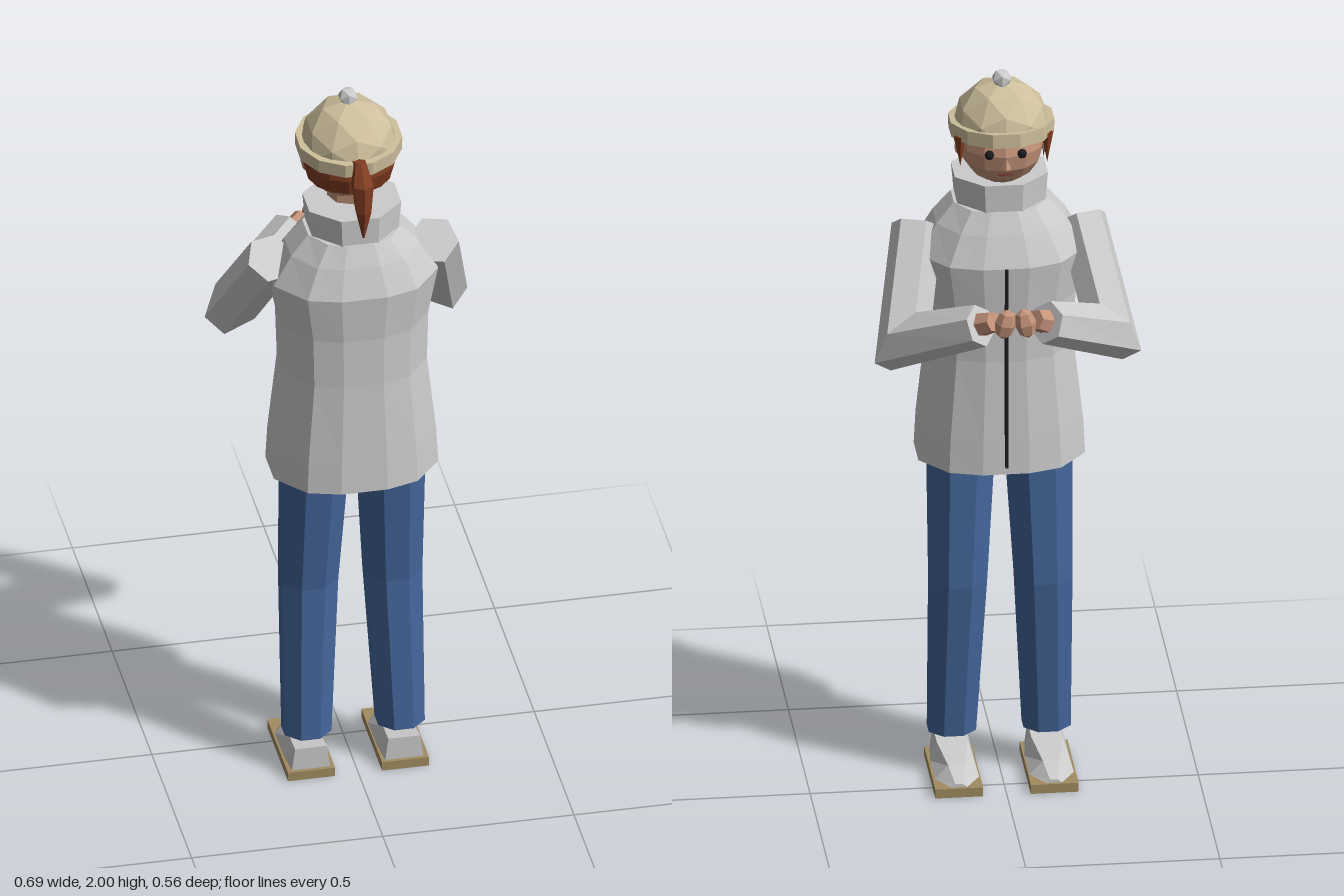
import * as THREE from 'three';

const mat = (color) => new THREE.MeshStandardMaterial({ color, flatShading: true, side: THREE.DoubleSide });
const V = (x, y, z) => new THREE.Vector3(x, y, z);

// Skin between equal-sized rings of points, capped at both ends, facing outward
function loft(rings) {
  const pos = [], n = rings[0].length;
  const tri = (a, b, c) => pos.push(...a.toArray(), ...b.toArray(), ...c.toArray());
  const centre = (ring) => ring.reduce((s, p) => s.add(p), V(0, 0, 0)).divideScalar(n);
  const first = centre(rings[0]), last = centre(rings[rings.length - 1]);
  for (let i = 0; i < n; i++) {
    const j = (i + 1) % n;
    for (let r = 0; r + 1 < rings.length; r++) {
      const A = rings[r], B = rings[r + 1];
      tri(A[i], B[j], A[j]);
      tri(A[i], B[i], B[j]);
    }
    tri(first, rings[0][i], rings[0][j]);
    tri(last, rings[rings.length - 1][j], rings[rings.length - 1][i]);
  }
  // Reverse the corners when the signed volume is negative
  let volume = 0;
  for (let k = 0; k < pos.length; k += 9) {
    const [a, b, c] = [0, 3, 6].map((o) => V(pos[k + o], pos[k + o + 1], pos[k + o + 2]));
    volume += a.dot(b.cross(c));
  }
  if (volume < 0) {
    for (let k = 0; k < pos.length; k += 9)
      for (let o = 3; o < 6; o++) [pos[k + o], pos[k + o + 3]] = [pos[k + o + 3], pos[k + o]];
  }
  const g = new THREE.BufferGeometry();
  g.setAttribute('position', new THREE.Float32BufferAttribute(pos, 3));
  g.computeVertexNormals();
  return g;
}

// Horizontal ellipse ring
function ring(sides, x, y, z, rx, rz) {
  return Array.from({ length: sides }, (_, i) => {
    const a = ((i + 0.5) / sides) * Math.PI * 2;
    return V(x + rx * Math.cos(a), y, z + rz * Math.sin(a));
  });
}

// Hexagonal sleeve along a bent path, mitred at the elbow
function sleeve(points, radii) {
  const [p0, p1, p2] = points;
  const d0 = p1.clone().sub(p0).normalize(), d1 = p2.clone().sub(p1).normalize();
  const u = V(0, 1, 0).cross(d0).normalize(), v = d0.clone().cross(u);
  const slide = (o, d, n) => o.clone().addScaledVector(d, -o.dot(n) / d.dot(n));
  const rings = [[], [], []];
  for (let i = 0; i < 6; i++) {
    const a = (i / 6) * Math.PI * 2;
    const o0 = u.clone().multiplyScalar(Math.cos(a)).addScaledVector(v, Math.sin(a));
    const o1 = slide(o0, d0, d0.clone().add(d1).normalize());
    const o2 = slide(o1, d1, d1);
    [o0, o1, o2].forEach((o, k) => rings[k].push(points[k].clone().addScaledVector(o, radii[k])));
  }
  return loft(rings);
}

export function createModel() {
  const model = new THREE.Group();
  const grey = mat(0xcccccc), denim = mat(0x44659a), skin = mat(0xc4937a), hairMat = mat(0x803c22);
  const knit = mat(0xcdbf9c), tan = mat(0xa08c60), dark = mat(0x1c1c1e);
  const add = (name, geo, m, x = 0, y = 0, z = 0, parent = model) => {
    const mesh = new THREE.Mesh(geo, m);
    mesh.name = name;
    mesh.position.set(x, y, z);
    parent.add(mesh);
    return mesh;
  };

  // Coat: squarish twelve-sided sections
  const quarter = [[0.28, 1], [0.67, 0.85], [1, 0.33]];
  const back = quarter.slice().reverse();
  const section = [
    ...back, ...quarter.map(([x, z]) => [-x, z]),
    ...back.map(([x, z]) => [-x, -z]), ...quarter.map(([x, z]) => [x, -z]),
  ];
  const coat = [
    // y, half width, half depth, centre z
    [0.905, 0.215, 0.163, 0.11], [1.0, 0.21, 0.16, 0.11], [1.22, 0.186, 0.152, 0.11],
    [1.36, 0.19, 0.155, 0.108], [1.49, 0.215, 0.167, 0.107], [1.57, 0.168, 0.138, 0.109], [1.625, 0.122, 0.112, 0.11],
  ];
  add('coat', loft(coat.map(([y, w, d, c]) => section.map(([x, z]) => V(x * w, y, c + z * d)))), grey);
  add('zip', new THREE.BoxGeometry(0.008, 0.56, 0.035), dark, 0, 1.21, -0.052);
  add('collar', loft([ring(8, 0, 1.615, 0.11, 0.122, 0.118), ring(8, 0, 1.7, 0.11, 0.13, 0.12)]), grey);
  add('neck', new THREE.CylinderGeometry(0.06, 0.06, 0.12, 8), skin, 0, 1.7, 0.085);

  // Limbs, mirrored in x
  for (const s of [1, -1]) {
    const leg = new THREE.Group();
    leg.name = 'leg';
    model.add(leg);
    add('trouserLeg', loft([
      ring(8, s * 0.122, 0.11, 0.125, 0.066, 0.062),
      ring(8, s * 0.11, 0.55, 0.09, 0.079, 0.074),
      ring(8, s * 0.1, 0.915, 0.113, 0.092, 0.09),
    ]), denim, 0, 0, 0, leg);
    add('sole', new THREE.BoxGeometry(0.123, 0.025, 0.26), tan, s * 0.123, 0.0125, 0.065, leg);
    // Shoe: sections from heel to toe (z, base half width, top half width, height)
    const shoe = [[0.185, 0.05, 0.042, 0.088], [0.11, 0.057, 0.04, 0.078], [0.0, 0.058, 0.022, 0.06], [-0.057, 0.022, 0.01, 0.034]];
    add('shoe', loft(shoe.map(([z, b, t, h]) => [
      V(s * 0.122 - b, 0.024, z), V(s * 0.122 + b, 0.024, z), V(s * 0.122 + t, h, z), V(s * 0.122 - t, h, z),
    ])), grey, 0, 0, 0, leg);

    const arm = new THREE.Group();
    arm.name = 'arm';
    model.add(arm);
    add('sleeve', sleeve(
      [V(s * 0.212, 1.545, 0.115), V(s * 0.268, 1.305, -0.07), V(s * 0.085, 1.41, -0.217)],
      [0.066, 0.067, 0.056],
    ), grey, 0, 0, 0, arm);
    const wrist = add('wrist', new THREE.CylinderGeometry(0.028, 0.034, 0.05, 6), skin, s * 0.071, 1.418, -0.222, arm);
    wrist.quaternion.setFromUnitVectors(V(0, 1, 0), V(s * -0.7, 0.42, -0.57).normalize());
    const fist = add('fist', new THREE.SphereGeometry(1, 6, 4), skin, s * 0.026, 1.432, -0.261, arm);
    fist.scale.set(0.028, 0.042, 0.025);
    fist.rotation.z = s * 0.2;
  }

  // Head and face, looking along -z
  const head = new THREE.Group();
  head.name = 'head';
  model.add(head);
  add('face', new THREE.SphereGeometry(0.11, 12, 8), skin, 0, 1.8, 0.063, head);
  add('nose', new THREE.ConeGeometry(0.013, 0.03, 4), skin, 0, 1.785, -0.048, head);
  add('mouth', new THREE.BoxGeometry(0.035, 0.006, 0.012), mat(0x7d3f38), 0, 1.748, -0.03, head);
  for (const s of [1, -1]) {
    add('eye', new THREE.SphereGeometry(0.013, 6, 4), dark, s * 0.042, 1.806, -0.037, head);
    add('ear', new THREE.SphereGeometry(0.02, 6, 4), skin, s * 0.11, 1.79, 0.06, head).scale.set(0.6, 1.2, 1);
    // Loose strand beside the face
    const strand = add('strand', new THREE.ConeGeometry(0.016, 0.085, 4), hairMat, s * 0.112, 1.8, 0.01, head);
    strand.rotation.x = Math.PI;
  }

  // Hair shell around the back of the head, and ponytail
  add('hair', new THREE.SphereGeometry(0.122, 9, 3, -0.3, Math.PI + 0.6, 0.9, 1.12), hairMat, 0, 1.81, 0.075, head);
  const tail = [[1.875, 0.218, 0.016, 0.014], [1.825, 0.245, 0.03, 0.032], [1.75, 0.255, 0.022, 0.022], [1.67, 0.258, 0.003, 0.003]];
  add('ponytail', loft(tail.map(([y, z, w, d]) => ring(6, 0, y, z, w, d))), hairMat, 0, 0, 0, head);
  add('hairTie', new THREE.BoxGeometry(0.03, 0.03, 0.05), hairMat, 0, 1.845, 0.205, head);

  // Knitted hat
  const hat = new THREE.Group();
  hat.name = 'hat';
  model.add(hat);
  const dome = new THREE.IcosahedronGeometry(0.128, 1);
  const p = dome.attributes.position;
  for (let i = 0; i < p.count; i++) p.setY(i, Math.max(p.getY(i), 0));
  dome.computeVertexNormals();
  add('dome', dome, knit, 0, 1.842, 0.067, hat);
  const brim = add('brim', loft([ring(12, 0, -0.018, 0, 0.137, 0.137), ring(12, 0, 0.02, 0, 0.138, 0.138)]), knit, 0, 1.846, 0.069, hat);
  brim.rotation.x = 0.06;
  add('pompom', new THREE.IcosahedronGeometry(0.027, 0), grey, 0, 1.976, 0.06, hat);
  return model;
}
